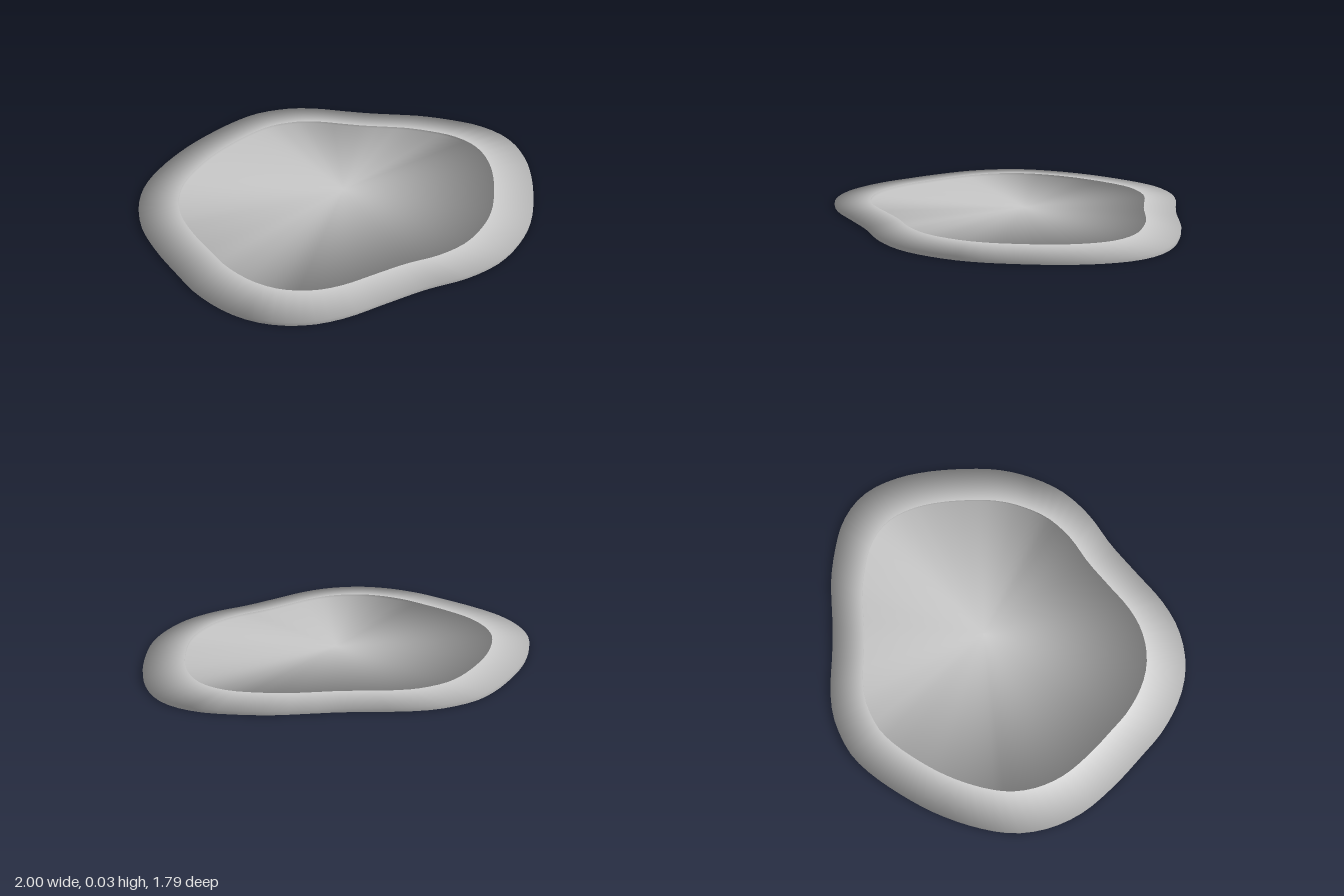
import * as THREE from 'three';

// Outline of the pool seen from above (x, z), starting at the back.
const OUTLINE = [
  [-0.02, -0.90], [0.1, -0.89], [0.2, -0.855], [0.3, -0.80], [0.4, -0.71], [0.5, -0.59], [0.6, -0.475],
  [0.7, -0.375], [0.8, -0.27], [0.9, -0.13], [0.97, 0], [1, 0.14], [0.985, 0.26], [0.92, 0.4], [0.83, 0.52],
  [0.7, 0.65], [0.55, 0.77], [0.4, 0.845], [0.2, 0.893], [0, 0.875], [-0.2, 0.81], [-0.4, 0.765],
  [-0.6, 0.72], [-0.75, 0.65], [-0.88, 0.53], [-0.96, 0.38], [-1, 0.18], [-0.995, 0], [-0.98, -0.2],
  [-0.94, -0.4], [-0.86, -0.56], [-0.75, -0.68], [-0.6, -0.77], [-0.4, -0.845], [-0.2, -0.885],
];
const SEGMENTS = 96;

export function createModel() {
  const group = new THREE.Group();
  const stone = new THREE.MeshStandardMaterial({ color: 0xcccccc });
  stone.name = 'pale grey';

  const curve = new THREE.CatmullRomCurve3(OUTLINE.map(([x, z]) => new THREE.Vector3(x, 0, z)), true);
  const points = curve.getSpacedPoints(SEGMENTS);
  // Outward direction of the outline at each point
  const outward = points.map((_, i) => {
    const t = curve.getTangentAt((i % SEGMENTS) / SEGMENTS);
    return new THREE.Vector3(t.z, 0, -t.x).normalize();
  });

  // A band between two scaled outlines; tilt is the smooth normal's angle from straight up.
  function band(name, ...rings) {
    const pos = [], nor = [], index = [];
    for (const { scale, y, tilt } of rings) {
      const a = THREE.MathUtils.degToRad(tilt);
      points.forEach((p, i) => {
        pos.push(p.x * scale - (scale === 0.8 ? 0.01 : 0), y, p.z * scale);
        nor.push(outward[i].x * Math.sin(a), Math.cos(a), outward[i].z * Math.sin(a));
      });
    }
    const n = points.length;
    for (let i = 0; i < SEGMENTS; i++) {
      if (rings[0].scale > 0) index.push(i, i + 1, n + i);
      if (rings[1].scale > 0) index.push(i + 1, n + i + 1, n + i);
    }
    const geometry = new THREE.BufferGeometry();
    geometry.setAttribute('position', new THREE.Float32BufferAttribute(pos, 3));
    geometry.setAttribute('normal', new THREE.Float32BufferAttribute(nor, 3));
    geometry.setIndex(index);
    const mesh = new THREE.Mesh(geometry, stone);
    mesh.name = name;
    group.add(mesh);
  }

  // Recessed floor and its low wall
  band('floor', { scale: 0, y: 0.018, tilt: 0 }, { scale: 0.8, y: 0.018, tilt: -75 });
  band('innerWall', { scale: 0.8, y: 0.018, tilt: -75 }, { scale: 0.8, y: 0.032, tilt: -85 });
  // Sloping rim, outer edge and underside
  band('rim', { scale: 0.8, y: 0.032, tilt: 8 }, { scale: 1, y: 0.018, tilt: 90 });
  band('outerEdge', { scale: 1, y: 0.018, tilt: 90 }, { scale: 1, y: 0, tilt: 100 });
  band('underside', { scale: 1, y: 0, tilt: 100 }, { scale: 0, y: 0, tilt: 180 });

  return group;
}
